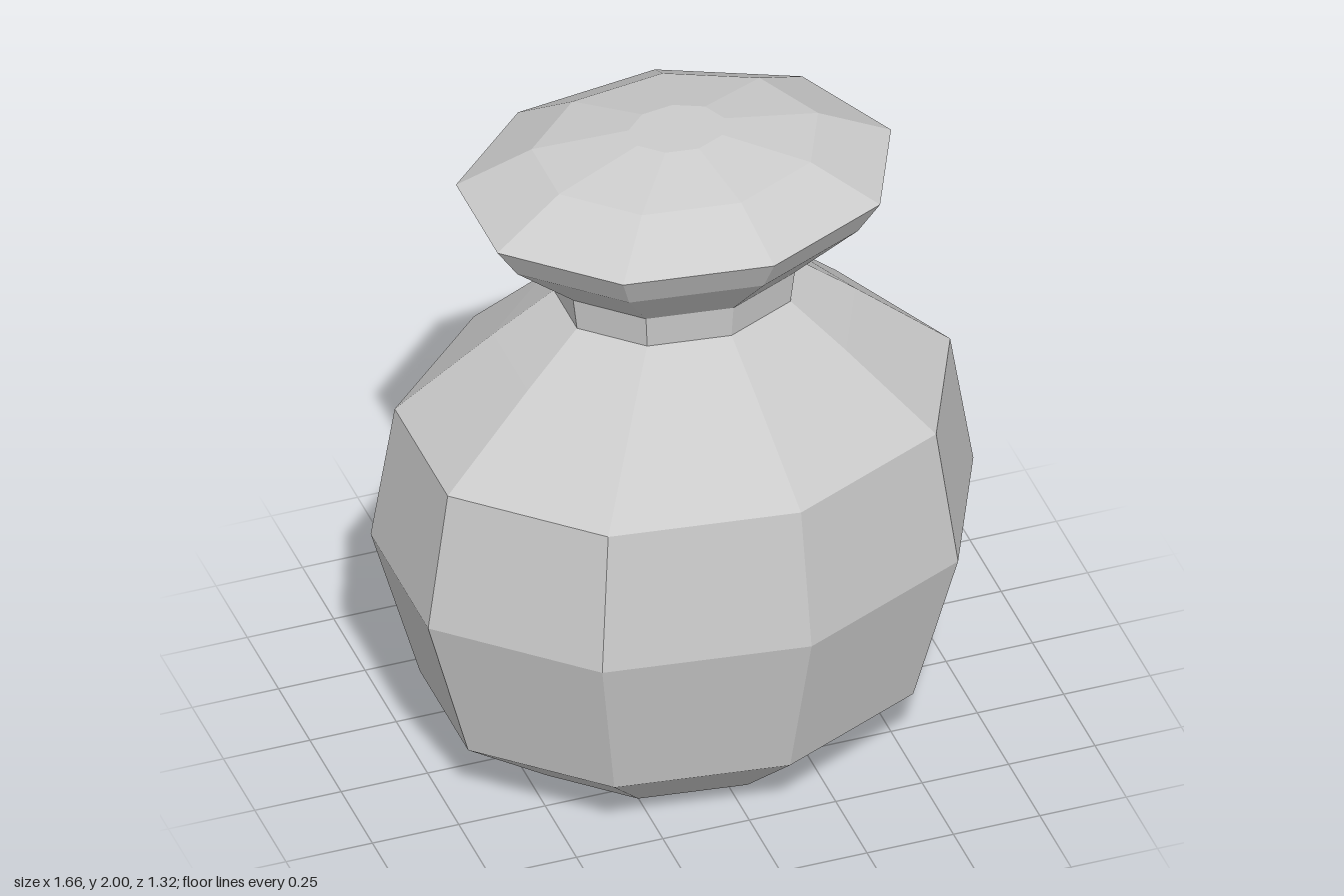
import * as THREE from 'three';

const SIDES = 9;
const DEPTH = 0.785; // depth of the oval relative to its width
const OFFSET = -0.027; // centres the nine-sided outline on x

// Turns a [radius, height] profile into a faceted oval band with a corner on +x
function faceted(name, profile, material) {
  const points = profile.map(([r, y]) => new THREE.Vector2(r, y));
  const geometry = new THREE.LatheGeometry(points, SIDES, Math.PI / 2);
  geometry.scale(1, 1, DEPTH);
  geometry.translate(OFFSET, 0, 0);
  geometry.computeVertexNormals();
  const mesh = new THREE.Mesh(geometry, material);
  mesh.name = name;
  return mesh;
}

export function createModel() {
  const group = new THREE.Group();
  group.name = 'pouch';
  const material = new THREE.MeshStandardMaterial({ color: 0xcccccc, flatShading: true });

  // Bulging sack with a flat base
  group.add(faceted('sack', [
    [0, 0], [0.448, 0], [0.719, 0.2], [0.856, 0.67],
    [0.789, 1.09], [0.515, 1.33], [0.345, 1.47],
  ], material));

  // Narrow tied neck
  group.add(faceted('neck', [[0.345, 1.47], [0.358, 1.57]], material));

  // Flared gathered top, closed by a shallow dome
  group.add(faceted('gatheredTop', [
    [0.358, 1.57], [0.55, 1.74], [0.618, 1.84],
    [0.407, 1.95], [0.137, 2], [0, 2],
  ], material));

  return group;
}
